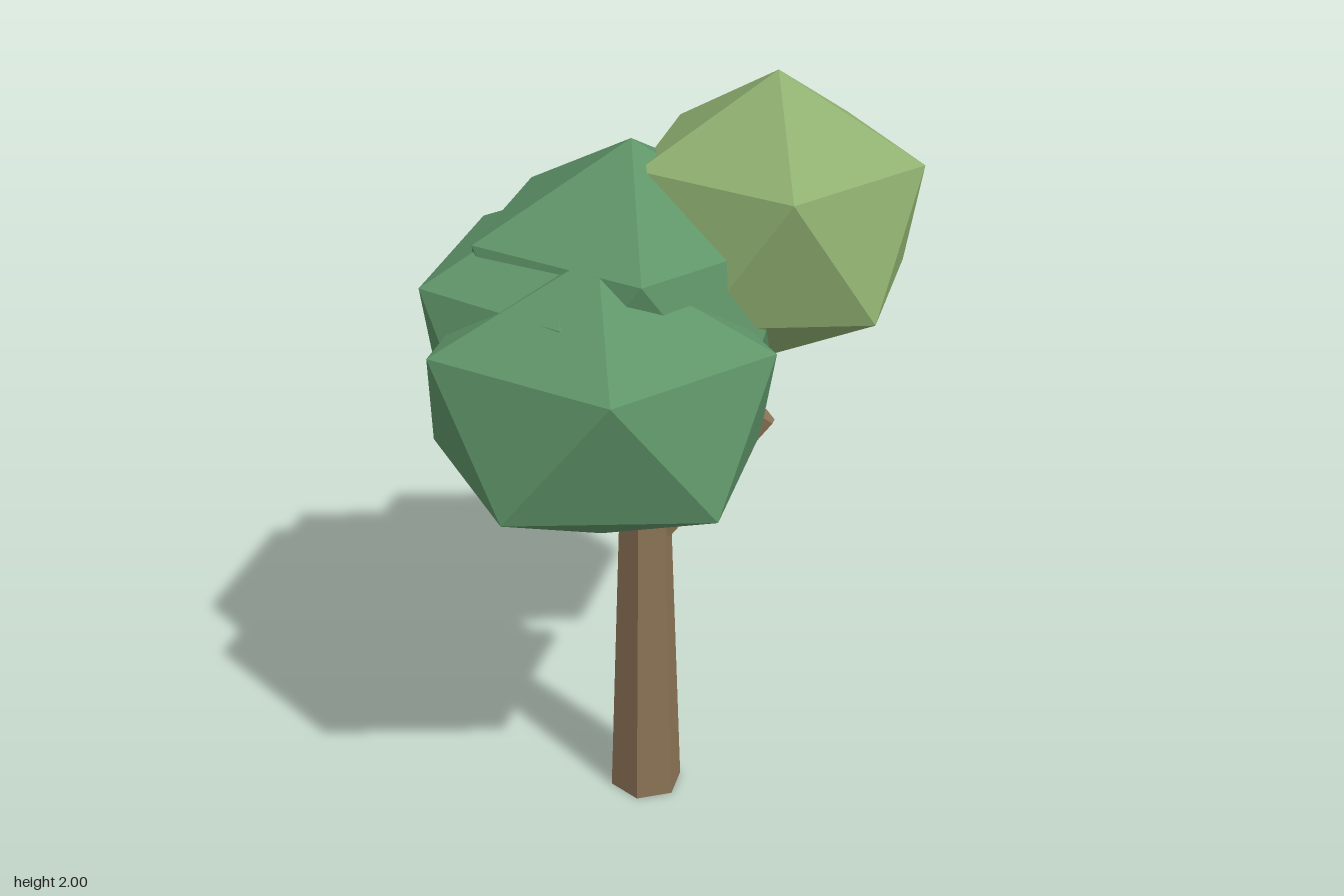
import * as THREE from 'three';

const paint = (color) => new THREE.MeshStandardMaterial({ color, flatShading: true });

// Low-poly leaf clump: an icosahedron standing on a corner, with one upper corner toward +x
function clump(name, material, [x, y, z], [rx, ry, rz]) {
  const geometry = new THREE.IcosahedronGeometry(1, 0);
  geometry.rotateZ(-Math.atan(2 / (1 + Math.sqrt(5))));
  geometry.scale(rx, ry, rz);
  const mesh = new THREE.Mesh(geometry, material);
  mesh.name = name;
  mesh.position.set(x, y, z);
  return mesh;
}

// Tapered six-sided limb running between two points
function limb(name, material, from, to, rFrom, rTo) {
  const a = new THREE.Vector3(...from);
  const b = new THREE.Vector3(...to);
  const dir = b.clone().sub(a);
  const mesh = new THREE.Mesh(new THREE.CylinderGeometry(rTo, rFrom, dir.length(), 6), material);
  mesh.name = name;
  mesh.position.copy(a).add(b).multiplyScalar(0.5);
  mesh.quaternion.setFromUnitVectors(new THREE.Vector3(0, 1, 0), dir.normalize());
  return mesh;
}

export function createModel() {
  const tree = new THREE.Group();
  tree.name = 'tree';

  const bark = paint(0x8b7355);
  const darkLeaf = paint(0x5f9468);
  const lightLeaf = paint(0x8fb070);

  // Trunk and side branch
  tree.add(
    limb('trunk', bark, [-0.025, 0, 0.05], [-0.025, 0.94, 0.05], 0.1, 0.068),
    limb('branch', bark, [0.015, 0.82, 0.035], [0.272, 1.152, -0.033], 0.04, 0.036),
  );

  // Foliage
  tree.add(
    clump('frontFoliage', darkLeaf, [-0.1, 1.265, 0.205], [0.5, 0.39, 0.455]),
    clump('middleFoliage', darkLeaf, [-0.095, 1.437, -0.09], [0.475, 0.408, 0.465]),
    clump('sideFoliage', darkLeaf, [-0.253, 1.38, -0.005], [0.41, 0.335, 0.475]),
    clump('topFoliage', lightLeaf, [0.243, 1.61, -0.245], [0.422, 0.39, 0.417]),
  );
  return tree;
}
